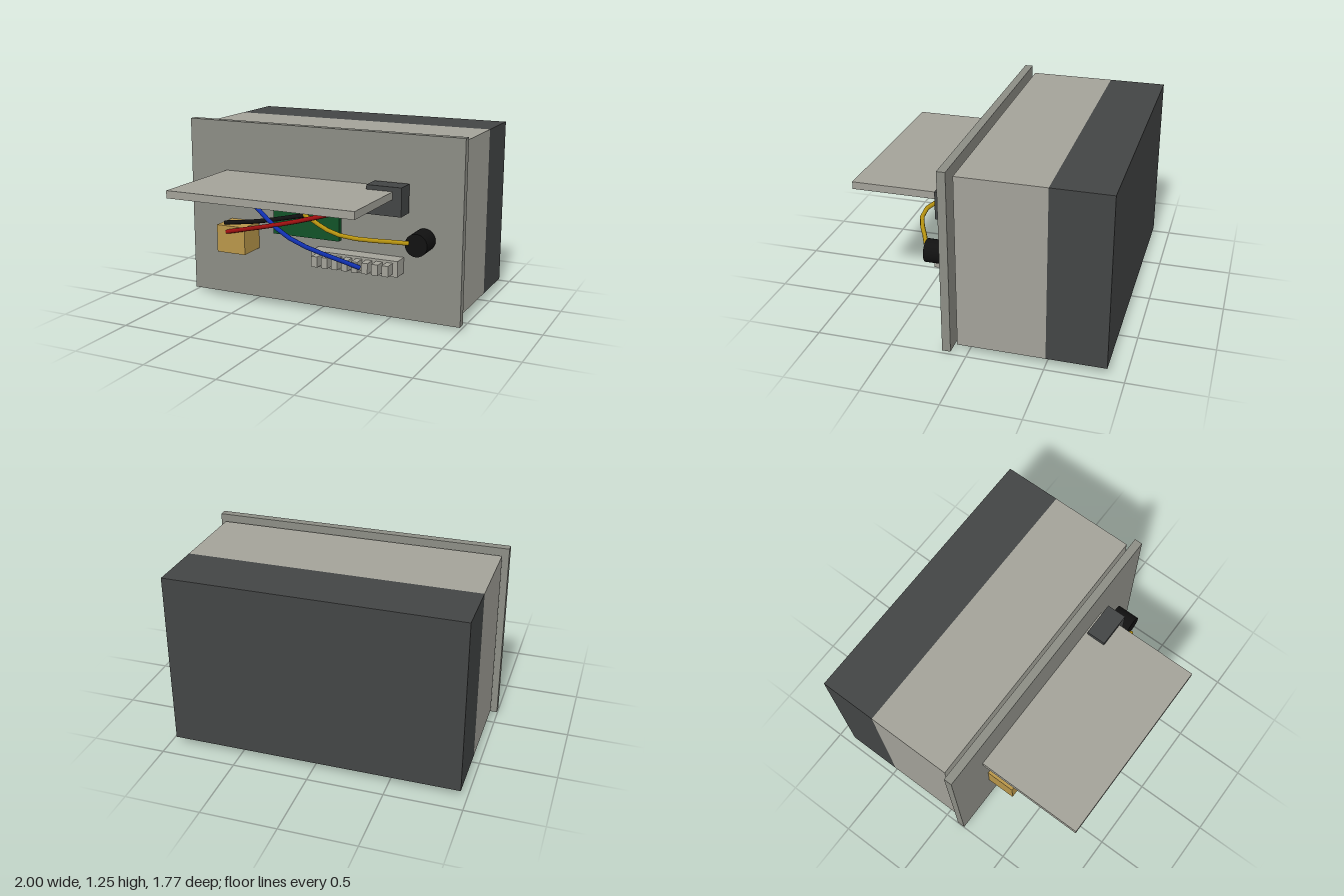
import * as THREE from 'three';

const mat = (color) => new THREE.MeshStandardMaterial({ color });

export function createModel() {
  const model = new THREE.Group();
  const paint = {
    plate: mat(0x8c8d85), light: mat(0xa3a299), dark: mat(0x434545), black: mat(0x111111),
    green: mat(0x115228), gold: mat(0xb8964a), red: mat(0xa01010), blue: mat(0x1030b0), yellow: mat(0xb89410),
  };

  const add = (name, geometry, material, parent = model) => {
    const mesh = new THREE.Mesh(geometry, material);
    mesh.name = name;
    parent.add(mesh);
    return mesh;
  };
  // Box given by its limits on each axis
  const box = (name, [x0, x1], [y0, y1], [z0, z1], material, parent) => {
    const mesh = add(name, new THREE.BoxGeometry(x1 - x0, y1 - y0, z1 - z0), material, parent);
    mesh.position.set((x0 + x1) / 2, (y0 + y1) / 2, (z0 + z1) / 2);
    return mesh;
  };
  // Upright disc between two heights
  const disc = (name, radius, x, z, [y0, y1], material, parent) => {
    const mesh = add(name, new THREE.CylinderGeometry(radius, radius, y1 - y0, 24), material, parent);
    mesh.position.set(x, (y0 + y1) / 2, z);
    return mesh;
  };

  // Enclosure: front panel, light body, dark rear
  box('frontPanel', [-1, 1], [0.02, 1.25], [0.1, 0.155], paint.plate);
  box('caseBody', [-0.96, 0.955], [0.05, 1.21], [-0.5, 0.07], paint.light);
  box('caseRear', [-0.96, 0.955], [0.05, 1.21], [-0.885, -0.5], paint.dark);

  // Cable glands under the rear
  for (const x of [-0.525, -0.005, 0.515]) {
    const gland = new THREE.Group();
    gland.name = 'cableGland';
    model.add(gland);
    disc('glandFlange', 0.122, x, -0.64, [0.022, 0.05], paint.dark, gland);
    disc('glandInsert', 0.09, x, -0.64, [0, 0.024], paint.black, gland);
  }

  // Shelf with a disc on its underside
  box('shelf', [-0.72, 0.58], [0.855, 0.905], [0.155, 0.885], paint.light);
  disc('shelfSensor', 0.075, 0.38, 0.745, [0.838, 0.856], paint.black);

  // Components on the panel
  box('relay', [0.4, 0.64], [0.745, 0.935], [0.17, 0.305], paint.dark);
  box('circuitBoard', [-0.315, 0.175], [0.515, 0.84], [0.19, 0.23], paint.green);
  box('transformer', [-0.685, -0.47], [0.375, 0.565], [0.155, 0.355], paint.gold);
  const buzzer = add('buzzer', new THREE.CylinderGeometry(0.075, 0.075, 0.155, 24), paint.black);
  buzzer.rotation.x = Math.PI / 2;
  buzzer.position.set(0.75, 0.58, 0.248);

  // Terminal strip with eight clamps
  const strip = new THREE.Group();
  strip.name = 'terminalStrip';
  model.add(strip);
  box('stripBase', [-0.01, 0.605], [0.335, 0.442], [0.155, 0.265], paint.light, strip);
  for (let i = 0; i < 8; i++) {
    const x = 0.05 + i * 0.0715;
    box('clamp', [x - 0.022, x + 0.022], [0.355, 0.427], [0.265, 0.345], paint.light, strip);
  }

  // Wires bowing out between the components
  const wire = (name, material, ...points) => {
    const path = new THREE.CatmullRomCurve3(points.map((p) => new THREE.Vector3(...p)));
    add(name, new THREE.TubeGeometry(path, 8, 0.015, 8), material);
  };
  wire('redWire', paint.red, [0.51, 0.825, 0.29], [-0.05, 0.672, 0.44], [-0.61, 0.522, 0.35]);
  wire('blueWire', paint.blue, [-0.48, 0.742, 0.27], [-0.05, 0.565, 0.475], [0.38, 0.392, 0.345]);
  wire('yellowWire', paint.yellow, [-0.07, 0.675, 0.25], [0.32, 0.633, 0.49], [0.71, 0.595, 0.345]);
  wire('blackWire', paint.black, [-0.63, 0.582, 0.34], [-0.35, 0.627, 0.36], [-0.07, 0.672, 0.25]);

  return model;
}
